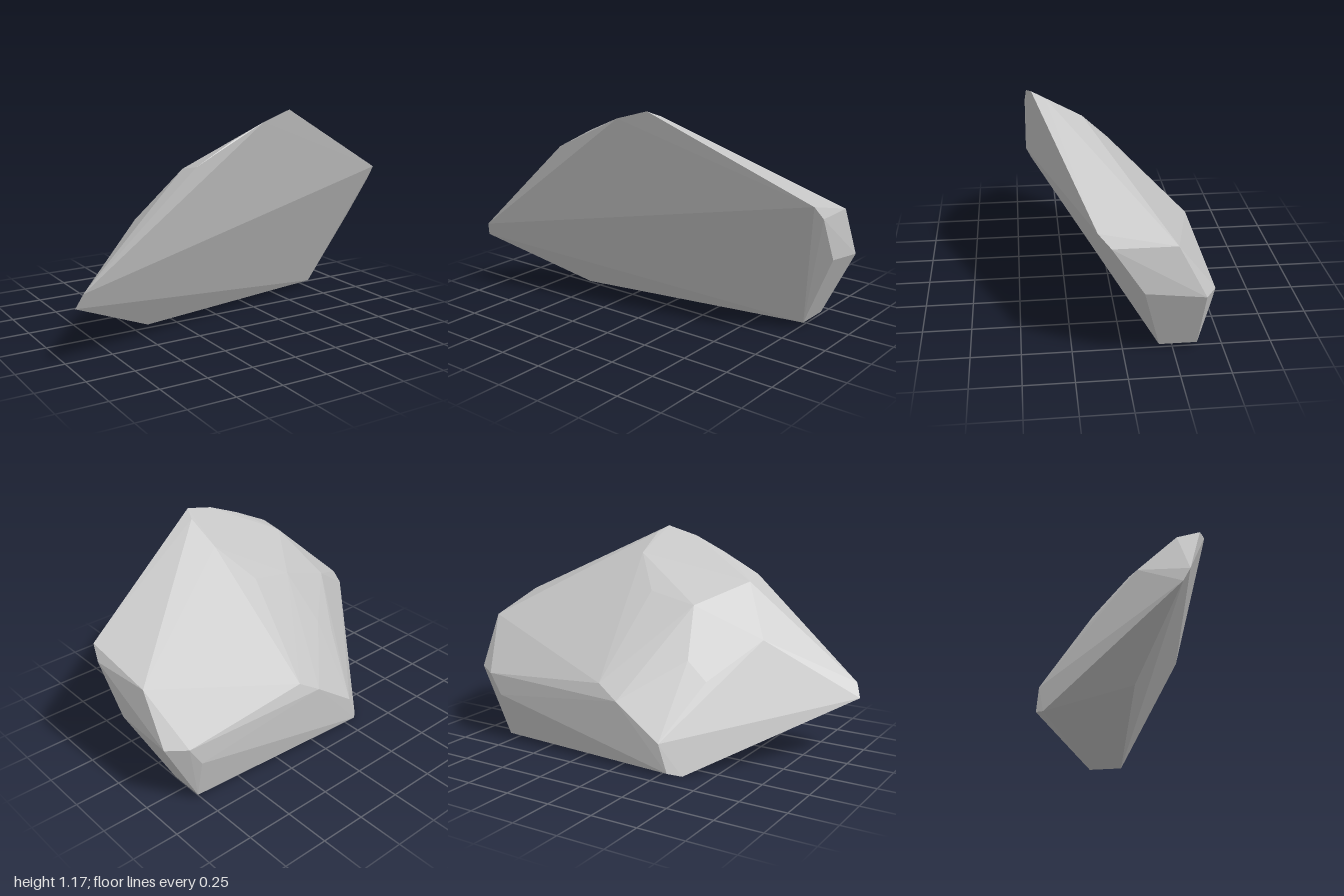
import * as THREE from 'three';
import { ConvexGeometry } from 'three/addons/geometries/ConvexGeometry.js';

// Corners of the faceted boulder, grouped by region
const corners = {
  tip: [[-1, 0.32, 0.40], [-0.97, 0.395, 0.43]],
  crest: [
    [-0.37, 0.93, 0.43], [-0.16, 1.04, 0.423], [0.02, 1.12, 0.423], [0.19, 1.17, 0.40],
    [0.22, 1.14, 0.33], [0.21, 1.04, 0.15], [-0.38, 0.905, 0.31],
  ],
  leftEnd: [
    [0.98, 0.77, 0.14], [1, 0.70, 0.08], [0.98, 0.45, -0.075],
    [0.955, 0.675, -0.23], [0.955, 0.40, -0.37],
  ],
  slope: [
    [0.06, 0.86, 0.005], [-0.19, 0.80, 0.03], [-0.26, 0.545, -0.15],
    [-0.37, 0.445, -0.15], [-0.45, 0.36, -0.12], [-0.555, 0.635, 0.13],
  ],
  back: [
    [0.85, 0.385, -0.43], [0.78, 0.27, -0.43], [0.12, 0.43, -0.412],
    [0, 0.355, -0.434], [-0.25, 0.17, -0.425],
  ],
  base: [
    [0.77, 0.03, -0.18], [0.77, 0.03, -0.37], [-0.30, 0.02, -0.422],
    [-0.36, 0, -0.37], [-0.48, 0.06, 0.105],
  ],
};

export function createModel() {
  const group = new THREE.Group();
  group.name = 'rock';

  const stone = new THREE.MeshStandardMaterial({ color: 0xc6c6c6 });
  stone.name = 'grey stone';
  stone.flatShading = true;

  // Single convex stone wrapped around all corners
  const points = Object.values(corners).flat().map((p) => new THREE.Vector3(...p));
  const boulder = new THREE.Mesh(new ConvexGeometry(points), stone);
  boulder.name = 'boulder';
  group.add(boulder);
  return group;
}
